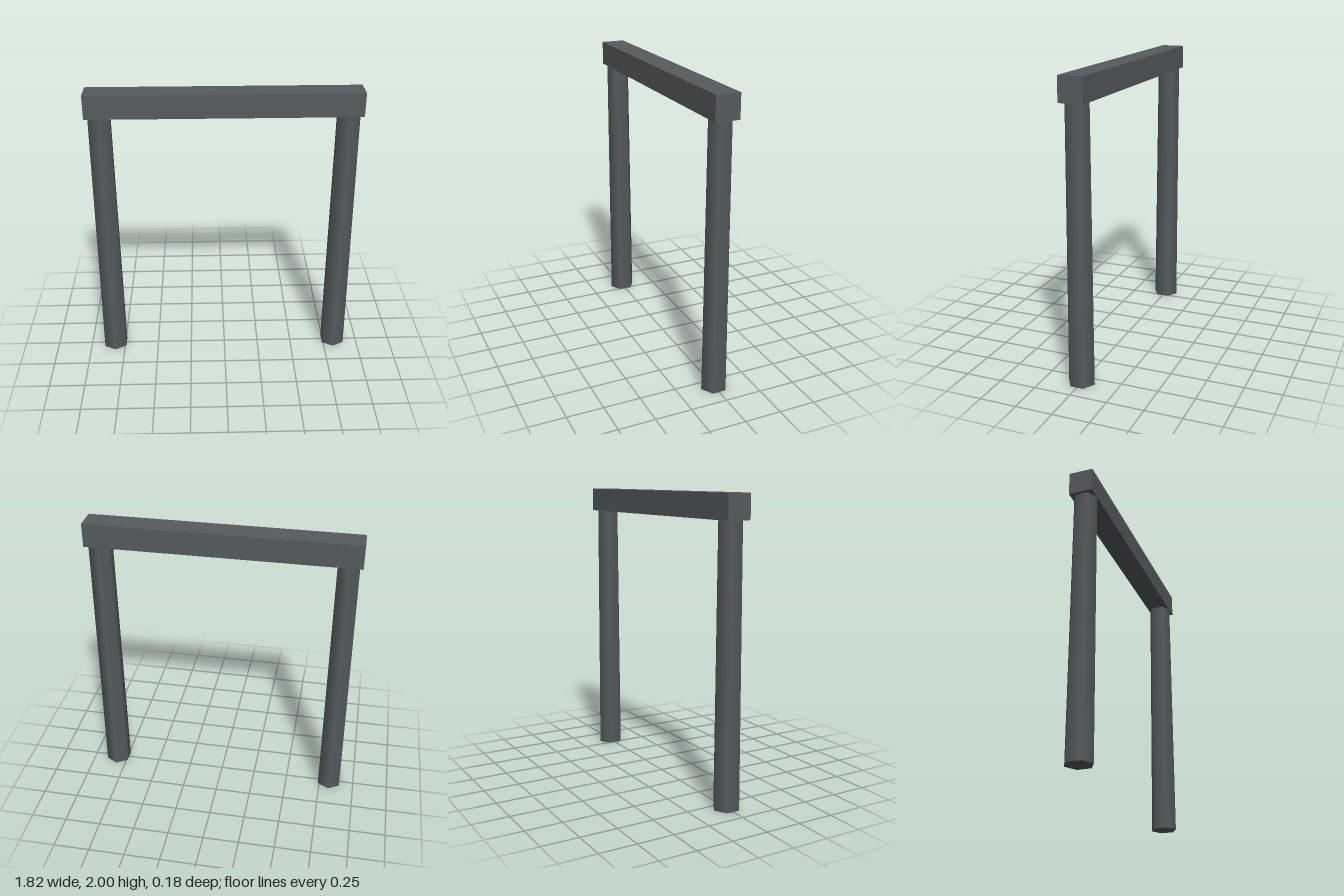
import * as THREE from 'three';

export function createModel() {
  const model = new THREE.Group();
  model.name = 'gateFrame';

  const darkGrey = new THREE.MeshStandardMaterial({ color: 0x575b5e });
  darkGrey.name = 'darkGrey';

  const height = 2;
  const beamSize = 0.163;
  const postHeight = height - beamSize;

  // Lintel beam across the top
  const beam = new THREE.Mesh(new THREE.BoxGeometry(1.824, beamSize, beamSize), darkGrey);
  beam.name = 'topBeam';
  beam.position.y = height - beamSize / 2;
  model.add(beam);

  // Tapered six-sided posts with smooth normals, corners pointing front and back
  const postGeometry = new THREE.CylinderGeometry(0.082, 0.0915, postHeight, 6);
  for (const [name, side] of [['leftPost', 1], ['rightPost', -1]]) {
    const post = new THREE.Mesh(postGeometry, darkGrey);
    post.name = name;
    post.position.set(side * 0.82, postHeight / 2, 0);
    model.add(post);
  }

  return model;
}
